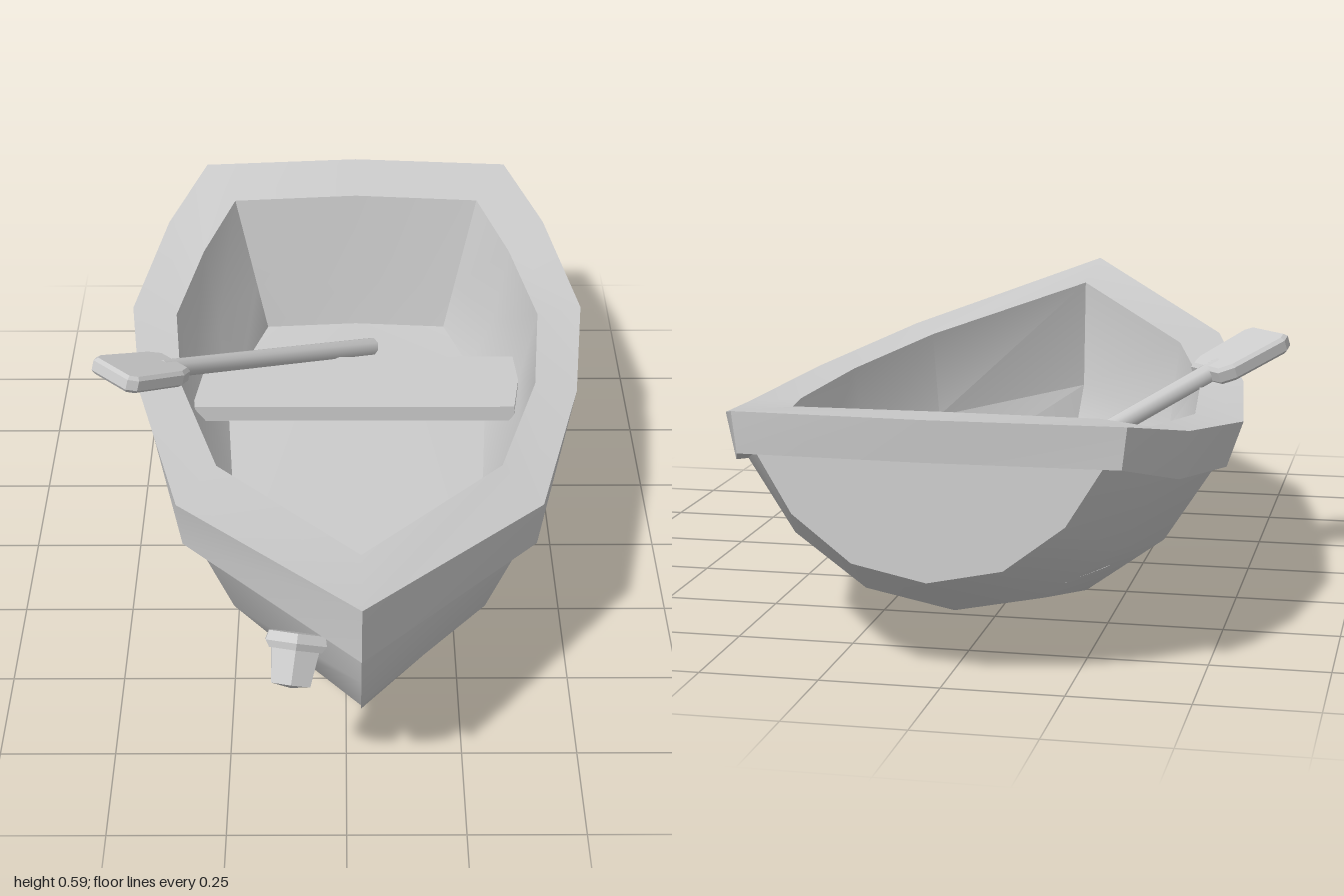
import * as THREE from 'three';
import { toCreasedNormals } from 'three/addons/utils/BufferGeometryUtils.js';

const material = new THREE.MeshStandardMaterial({ color: 0xcccccc });
const CENTRE_X = 0.03;

function addMesh(parent, name, geometry) {
  const mesh = new THREE.Mesh(geometry, material);
  mesh.name = name;
  parent.add(mesh);
  return mesh;
}

// Half ring [halfWidth, y, z] from bow to stern centre, mirrored into a closed loop
function mirrorRing(half) {
  const back = half.slice(1, -1).reverse().map(([x, y, z]) => [-x, y, z]);
  return [...half, ...back];
}

// Skin a stack of half rings; optionally close the last one with a fan
function loft(halfRings, crease, cap = false) {
  const rings = halfRings.map(mirrorRing);
  const n = rings[0].length;
  const index = [];
  for (let k = 0; k < rings.length - 1; k++) {
    for (let i = 0; i < n; i++) {
      const a = k * n + i, b = k * n + (i + 1) % n;
      index.push(a, b, b + n, a, b + n, a + n);
    }
  }
  if (cap) {
    const base = (rings.length - 1) * n, pivot = n / 2;
    for (let i = 1; i < n - 1; i++) {
      index.push(base + pivot, base + (pivot + i) % n, base + (pivot + i + 1) % n);
    }
  }
  const geometry = new THREE.BufferGeometry();
  geometry.setAttribute('position', new THREE.Float32BufferAttribute(rings.flat(2), 3));
  geometry.setIndex(index);
  return toCreasedNormals(geometry, crease);
}

function hullGeometry() {
  // Stations: half width at the top, top y, keel y, top z, keel z
  const stations = [
    [0.36, 0.39, 0.07, 0.49, 0.54],
    [0.475, 0.35, 0.012, 0.03, 0.03],
    [0.505, 0.35, 0, -0.40, -0.40],
    [0.445, 0.40, 0.085, -0.75, -0.75],
    [0.36, 0.47, 0.208, -0.965, -0.985],
  ];
  // Levels: width fraction, height fraction, and the stem point at the bow
  const levels = [
    [0, 0, [0, 0.215, 0.85]],
    [0.425, 0.12, [0, 0.235, 0.862]],
    [0.765, 0.475, [0, 0.36, 0.938]],
    [1, 1, [0, 0.48, 0.955]],
  ];
  return loft(levels.map(([fw, fh, stem]) => {
    const ring = stations.map(([w, top, keel, zTop, zKeel]) => [
      w * fw, keel + (top - keel) * fh, zKeel + (zTop - zKeel) * fh,
    ]);
    const stern = ring[ring.length - 1];
    return [stem, ...ring, [0, stern[1], stern[2]]];
  }), 1);
}

function gunwaleGeometry() {
  const outerTop = [
    [0, 0.592, 0.998], [0.395, 0.477, 0.49], [0.51, 0.448, 0.0], [0.555, 0.436, -0.40],
    [0.485, 0.485, -0.75], [0.395, 0.535, -0.975], [0, 0.538, -1.0],
  ];
  const outerBottom = [
    [0, 0.46, 0.995], [0.385, 0.37, 0.485], [0.485, 0.335, 0.0], [0.52, 0.335, -0.40],
    [0.465, 0.385, -0.75], [0.385, 0.45, -0.975], [0, 0.452, -0.993],
  ];
  const innerTop = [
    [0, 0.555, 0.77], [0.315, 0.475, 0.34], [0.415, 0.45, -0.03], [0.445, 0.44, -0.36],
    [0.39, 0.465, -0.63], [0.315, 0.515, -0.81], [0, 0.52, -0.828],
  ];
  // Turn of the inner wall, above the bilge
  const bilge = [
    [0, 0.28, 0.75], [0.295, 0.27, 0.32], [0.385, 0.265, -0.04], [0.41, 0.265, -0.36],
    [0.355, 0.27, -0.61], [0.262, 0.28, -0.777], [0, 0.28, -0.795],
  ];
  const floor = [
    [0, 0.16, 0.61], [0.235, 0.16, 0.2], [0.305, 0.155, -0.07], [0.325, 0.15, -0.36],
    [0.295, 0.15, -0.58], [0.235, 0.16, -0.76], [0, 0.16, -0.778],
  ];
  // Underside lip that meets the hull planking
  const lip = outerBottom.map(([x, y, z]) => [x * 0.9, y, z * 0.95]);
  return {
    rim: loft([lip, outerBottom, outerTop, innerTop], 0.7),
    interior: loft([innerTop, bilge, floor], 0.7, true),
  };
}

function benchGeometry() {
  const shape = new THREE.Shape();
  shape.moveTo(-0.405, 0.2);
  shape.lineTo(0.385, 0.2);
  shape.lineTo(0.402, 0.32);
  shape.lineTo(0.395, 0.43);
  shape.lineTo(-0.375, 0.43);
  const geometry = new THREE.ExtrudeGeometry(shape, { depth: 0.04, bevelEnabled: false });
  geometry.rotateX(-Math.PI / 2);
  return geometry.translate(0, 0.232, 0);
}

function createOar() {
  const oar = new THREE.Group();
  oar.name = 'oar';
  const start = new THREE.Vector3(0.07, 0.235, -0.54);
  const along = new THREE.Vector3(-0.535, 0.54, 0.07).sub(start);
  const length = along.length();
  along.normalize();
  const side = new THREE.Vector3(along.z, 0, -along.x).normalize();
  const normal = side.clone().cross(along);
  oar.quaternion.setFromRotationMatrix(new THREE.Matrix4().makeBasis(side, along, normal));
  oar.position.copy(start);

  const shaft = new THREE.CylinderGeometry(0.023, 0.023, length - 0.16, 8);
  addMesh(oar, 'oarShaft', toCreasedNormals(shaft, 0.9)).position.y = (length - 0.16) / 2;

  const blade = new THREE.Shape();
  blade.moveTo(-0.045, 0);
  blade.lineTo(0.045, 0);
  blade.lineTo(0.06, 0.03);
  blade.lineTo(0.066, 0.175);
  blade.lineTo(0.055, 0.192);
  blade.lineTo(-0.055, 0.192);
  blade.lineTo(-0.066, 0.175);
  blade.lineTo(-0.06, 0.03);
  const bladeGeometry = new THREE.ExtrudeGeometry(blade, {
    depth: 0.024, bevelSize: 0.008, bevelThickness: 0.008, bevelSegments: 1,
  });
  addMesh(oar, 'oarBlade', bladeGeometry).position.set(0, length - 0.195, -0.012);
  return oar;
}

// Small flanged hexagonal cup fixed beside the stem
function createBowFitting() {
  const profile = [
    [0, 0], [0.066, 0], [0.072, 0.02], [0.062, 0.034], [0.056, 0.034], [0.046, 0.105], [0, 0.112],
  ].map(([r, y]) => new THREE.Vector2(r, -y));
  const geometry = new THREE.LatheGeometry(profile.reverse(), 6);
  const group = new THREE.Group();
  group.name = 'bowFitting';
  addMesh(group, 'bowCup', toCreasedNormals(geometry, 0.5));
  group.position.set(-0.1, 0.415, 0.846);
  const axis = new THREE.Vector3(-0.12, -0.72, 0.56).normalize().negate();
  group.quaternion.setFromUnitVectors(new THREE.Vector3(0, 1, 0), axis);
  return group;
}

export function createModel() {
  const model = new THREE.Group();
  model.name = 'rowingBoat';

  const boat = new THREE.Group();
  boat.name = 'boat';
  boat.position.x = CENTRE_X;
  model.add(boat);

  const { rim, interior } = gunwaleGeometry();
  addMesh(boat, 'hull', hullGeometry());
  addMesh(boat, 'gunwale', rim);
  addMesh(boat, 'interior', interior);
  addMesh(boat, 'bench', benchGeometry());

  model.add(createOar(), createBowFitting());
  return model;
}
